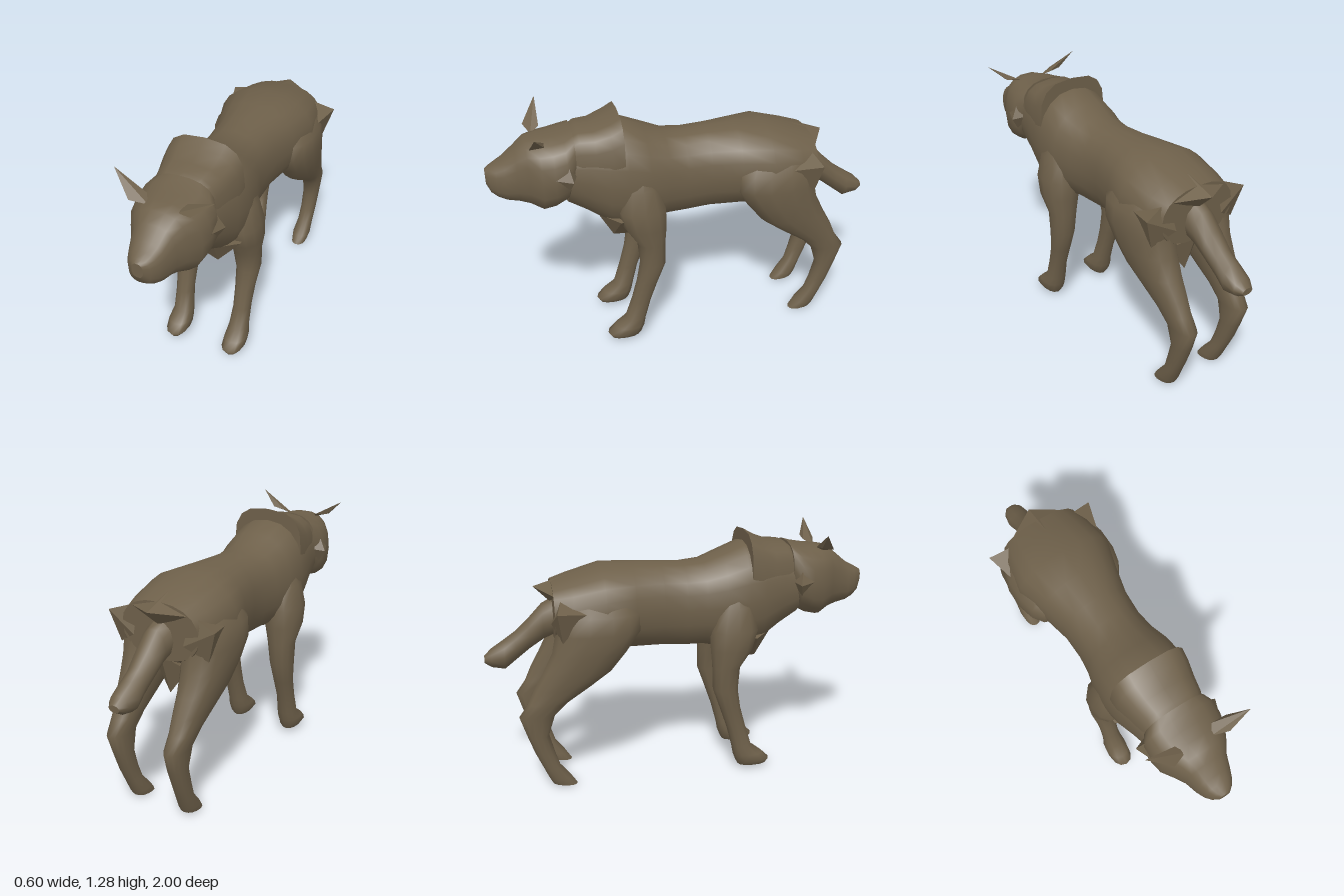
import * as THREE from 'three';
import { ConvexGeometry } from 'three/addons/geometries/ConvexGeometry.js';

const V = (x, y, z) => new THREE.Vector3(x, y, z);

// Smooth skin over rings {c: centre, u, v: half axes}, with u x v along the path; ends are capped.
function loft(rings, sides = 16, power = 0.88) {
  const pos = [], idx = [];
  const round = (t) => Math.sign(t) * Math.pow(Math.abs(t), power);
  const addRing = ({ c, u, v }) => {
    const start = pos.length / 3;
    for (let j = 0; j < sides; j++) {
      const a = (j / sides) * Math.PI * 2;
      const p = c.clone().addScaledVector(u, round(Math.cos(a))).addScaledVector(v, round(Math.sin(a)));
      pos.push(p.x, p.y, p.z);
    }
    return start;
  };
  const starts = rings.map(addRing);
  for (let i = 0; i < rings.length - 1; i++) {
    for (let j = 0; j < sides; j++) {
      const k = (j + 1) % sides, a = starts[i], b = starts[i + 1];
      idx.push(a + j, a + k, b + k, a + j, b + k, b + j);
    }
  }
  [rings[0], rings[rings.length - 1]].forEach((ring, end) => {
    const s = addRing(ring), m = pos.length / 3;
    pos.push(ring.c.x, ring.c.y, ring.c.z);
    for (let j = 0; j < sides; j++) {
      const k = (j + 1) % sides;
      if (end) idx.push(m, s + j, s + k);
      else idx.push(m, s + k, s + j);
    }
  });
  const g = new THREE.BufferGeometry();
  g.setAttribute('position', new THREE.Float32BufferAttribute(pos, 3));
  g.setIndex(idx);
  g.computeVertexNormals();
  return g;
}

// Upright rings running forward: [z, bottom, top, half width]
const alongZ = (rows) => rows.map(([z, lo, hi, w]) => (
  { c: V(0, (lo + hi) / 2, z), u: V(w, 0, 0), v: V(0, (hi - lo) / 2, 0) }));

// Level rings running upward: [y, back z, front z, inner x, outer x, forward tilt]
const alongY = (rows, side) => rows.map(([y, z0, z1, x0, x1, tilt = 0]) => (
  { c: V(side * (x0 + x1) / 2, y, (z0 + z1) / 2), u: V(0, -tilt, (z1 - z0) / 2), v: V((x1 - x0) / 2, 0, 0) }));

export function createModel() {
  const model = new THREE.Group();
  const fur = new THREE.MeshStandardMaterial({ color: 0x6e604a });
  fur.name = 'brown fur';
  const add = (name, geometry) => {
    const mesh = new THREE.Mesh(geometry, fur);
    mesh.name = name;
    model.add(mesh);
  };
  const spike = (name, side, points) =>
    add(name, new ConvexGeometry(points.map(([x, y, z]) => V(side * x, y, z))));

  // Trunk from rump to neck
  add('body', loft(alongZ([
    [-0.65, 0.78, 1.065, 0.215], [-0.56, 0.735, 1.095, 0.245], [-0.40, 0.71, 1.14, 0.268],
    [-0.25, 0.705, 1.14, 0.222], [-0.10, 0.70, 1.135, 0.185], [0.02, 0.69, 1.13, 0.18],
    [0.12, 0.69, 1.14, 0.192], [0.22, 0.67, 1.18, 0.218], [0.33, 0.66, 1.225, 0.224],
    [0.42, 0.69, 1.22, 0.21], [0.52, 0.765, 1.20, 0.185], [0.62, 0.83, 1.17, 0.165],
  ]), 20));

  // Raised mane, its sharp rear edge showing along the top
  add('mane', loft(alongZ([
    [0.345, 0.85, 1.285, 0.205], [0.40, 0.83, 1.255, 0.203], [0.48, 0.84, 1.225, 0.185],
    [0.55, 0.85, 1.222, 0.17], [0.60, 0.88, 1.19, 0.155],
  ]), 16, 0.68));

  // Head with broad cheeks and blunt muzzle
  add('head', loft(alongZ([
    [0.575, 0.97, 1.218, 0.165], [0.62, 0.865, 1.205, 0.2], [0.68, 0.83, 1.195, 0.196],
    [0.74, 0.815, 1.19, 0.182], [0.80, 0.848, 1.18, 0.145], [0.85, 0.862, 1.14, 0.113],
    [0.91, 0.875, 1.09, 0.094], [0.95, 0.895, 1.068, 0.077], [0.98, 0.92, 1.052, 0.055],
    [1.0, 0.965, 1.04, 0.028],
  ]), 18, 0.8));

  // Tail
  add('tail', loft(alongZ([
    [-1.0, 0.655, 0.69, 0.03], [-0.965, 0.632, 0.725, 0.055], [-0.90, 0.618, 0.768, 0.065],
    [-0.84, 0.665, 0.81, 0.06], [-0.77, 0.72, 0.875, 0.068], [-0.70, 0.765, 0.95, 0.072],
    [-0.62, 0.80, 0.99, 0.08],
  ]), 10, 1));

  // Pointed rump overhang above the tail
  spike('rumpPoint', 1, [[0, 1.04, -0.74], [-0.17, 1.02, -0.64], [0.17, 1.02, -0.64],
    [0, 1.092, -0.57], [0, 0.96, -0.66]]);
  // Hanging point between the hind legs
  spike('groinPoint', 1, [[0, 0.58, -0.58], [-0.09, 0.71, -0.56], [0.09, 0.71, -0.56],
    [0, 0.74, -0.45], [0, 0.80, -0.65]]);

  for (const side of [1, -1]) {
    const name = side > 0 ? 'left' : 'right';

    add(name + 'FrontLeg', loft(alongY([
      [0.028, 0.30, 0.455, 0.125, 0.205], [0.055, 0.285, 0.47, 0.105, 0.224],
      [0.095, 0.27, 0.43, 0.105, 0.226], [0.14, 0.262, 0.37, 0.112, 0.215],
      [0.25, 0.233, 0.335, 0.122, 0.214], [0.36, 0.195, 0.305, 0.118, 0.22],
      [0.48, 0.152, 0.285, 0.112, 0.237], [0.60, 0.15, 0.295, 0.095, 0.24],
      [0.70, 0.14, 0.36, 0.07, 0.26], [0.80, 0.14, 0.39, 0.05, 0.26],
      [0.92, 0.17, 0.37, 0.05, 0.235], [1.02, 0.21, 0.33, 0.06, 0.19],
    ], side), 12));

    add(name + 'HindLeg', loft(alongY([
      [0.013, -0.70, -0.57, 0.105, 0.19, 0.008], [0.05, -0.715, -0.60, 0.10, 0.198],
      [0.12, -0.745, -0.655, 0.112, 0.197], [0.20, -0.78, -0.68, 0.117, 0.202],
      [0.30, -0.815, -0.705, 0.115, 0.207], [0.41, -0.85, -0.67, 0.115, 0.217],
      [0.48, -0.80, -0.60, 0.108, 0.227], [0.56, -0.765, -0.48, 0.095, 0.242],
      [0.64, -0.72, -0.37, 0.08, 0.26], [0.74, -0.67, -0.29, 0.06, 0.279],
      [0.84, -0.65, -0.22, 0.05, 0.288], [0.93, -0.64, -0.22, 0.05, 0.28],
      [1.01, -0.62, -0.27, 0.05, 0.225], [1.06, -0.56, -0.33, 0.05, 0.13],
    ], side), 14));

    // Flared hip tufts
    spike(name + 'HipTuft', side, [[0.30, 0.97, -0.645], [0.15, 1.02, -0.61], [0.26, 0.95, -0.50],
      [0.25, 0.81, -0.62], [0.14, 0.88, -0.665]]);
    // Swept ears
    const earZ = side > 0 ? 0.77 : 0.71;
    spike(name + 'Ear', side, [[0.26, 1.28, earZ], [0.07, 1.165, 0.76], [0.10, 1.19, 0.715],
      [0.17, 1.20, 0.72], [0.15, 1.185, 0.79]]);
    // Ragged cheek fur
    spike(name + 'CheekTuft', side, [[0.225, 1.02, 0.60], [0.17, 1.12, 0.62], [0.18, 0.95, 0.62],
      [0.19, 1.03, 0.69], [0.14, 1.03, 0.57]]);
    // Chest fur points
    spike(name + 'ChestTuft', side, [[0.085, 0.622, 0.40], [0.09, 0.62, 0.33], [0, 0.69, 0.41],
      [0, 0.69, 0.25], [0.20, 0.75, 0.38], [0.10, 0.76, 0.475], [0, 0.76, 0.49], [0.18, 0.75, 0.2]]);
  }
  return model;
}
